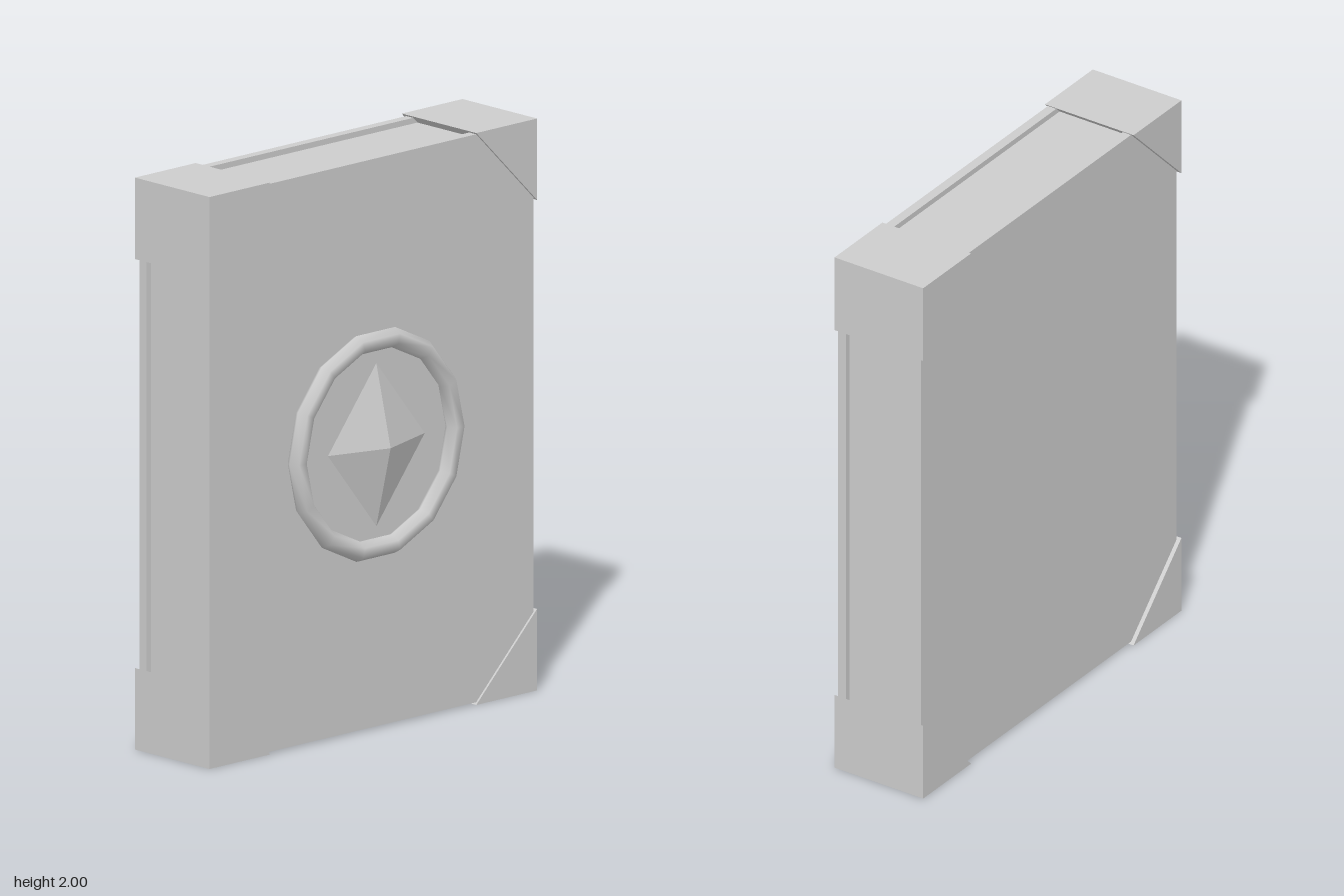
import * as THREE from 'three';

export function createModel() {
  const book = new THREE.Group();
  book.name = 'book';

  const grey = new THREE.MeshStandardMaterial({ color: 0xcccccc });
  grey.name = 'light grey';

  const add = (name, geometry, x = 0, y = 0, z = 0) => {
    const mesh = new THREE.Mesh(geometry, grey);
    mesh.name = name;
    mesh.position.set(x, y, z);
    book.add(mesh);
    return mesh;
  };

  // Two cover boards with a slightly recessed page block between them
  const board = new THREE.BoxGeometry(1.52, 1.986, 0.034);
  add('frontCover', board, 0, 1, 0.115);
  add('backCover', board, 0, 1, -0.193);
  add('pages', new THREE.BoxGeometry(1.48, 1.946, 0.28), 0, 1, -0.04);

  // Triangular corner caps, wrapping the full thickness
  const W = 0.768, leg = 0.285, depth = 0.365;
  for (const sx of [-1, 1]) {
    for (const sy of [-1, 1]) {
      const shape = new THREE.Shape([
        new THREE.Vector2(sx * W, sy),
        new THREE.Vector2(sx * (W - leg), sy),
        new THREE.Vector2(sx * W, sy * (1 - leg)),
      ]);
      const cap = new THREE.ExtrudeGeometry(shape, { depth, bevelEnabled: false });
      add(`${sy > 0 ? 'top' : 'bottom'}${sx > 0 ? 'Left' : 'Right'}Corner`, cap, 0, 1, -0.225);
    }
  }

  // Ring medallion on the front cover
  add('ring', new THREE.TorusGeometry(0.37, 0.035, 6, 14), 0, 1, 0.152);

  // Faceted gem: a flattened octahedron set in the cover
  const gem = new THREE.OctahedronGeometry(1);
  gem.scale(0.227, 0.285, 0.07);
  gem.computeVertexNormals();
  add('gem', gem, 0, 1, 0.155);

  return book;
}
